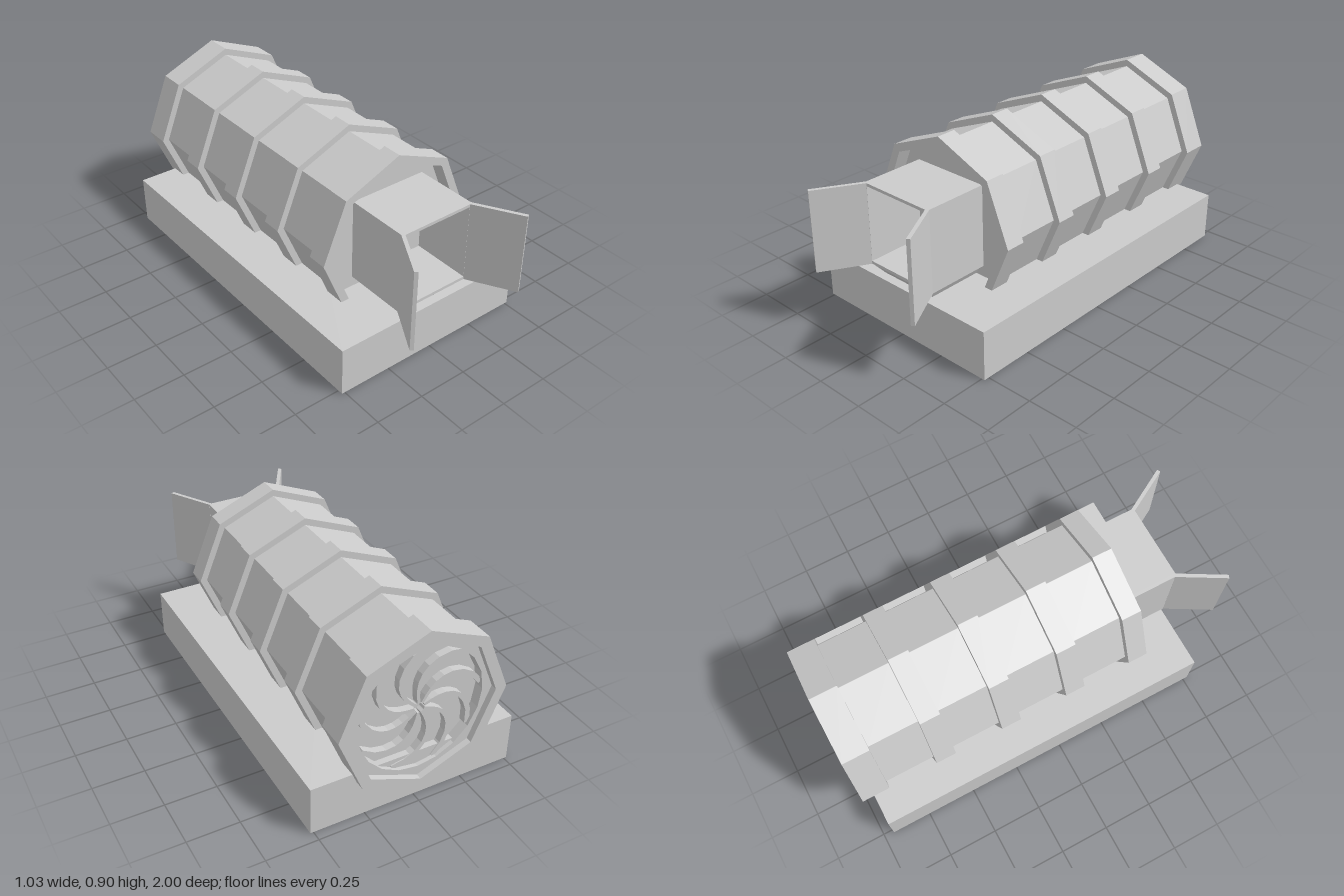
import * as THREE from 'three';

const AXIS_Y = 0.488;
const material = new THREE.MeshStandardMaterial({ color: 0xcccccc, flatShading: true, side: THREE.DoubleSide });

function add(parent, name, geometry, x = 0, y = 0, z = 0) {
  const flat = geometry.index ? geometry.toNonIndexed() : geometry;
  flat.computeVertexNormals();
  const mesh = new THREE.Mesh(flat, material);
  mesh.name = name;
  mesh.position.set(x, y, z);
  parent.add(mesh);
  return mesh;
}

const box = (w, h, d) => new THREE.BoxGeometry(w, h, d);

function polygonPoints(radius, sides) {
  return Array.from({ length: sides }, (_, i) => {
    const a = Math.PI / 2 + (i / sides) * Math.PI * 2;
    return new THREE.Vector2(Math.cos(a) * radius, Math.sin(a) * radius);
  });
}

// Octagonal shell: raised bands along the body, with recessed ends
function shellGeometry() {
  const bands = [[-1, -0.865], [-0.62, -0.52], [-0.275, -0.175], [0.07, 0.17], [0.415, 0.515]];
  const profile = [[0.36, -0.9]];
  bands.forEach(([a, b], i) => {
    profile.push([i ? 0.38 : 0.36, a], [0.415, a], [0.415, b]);
    if (i < bands.length - 1) profile.push([0.38, b]);
  });
  profile.push([0.372, 0.515], [0.365, 0.45], [0, 0.45]);
  return new THREE.LatheGeometry(profile.map(p => new THREE.Vector2(...p)), 8).rotateX(Math.PI / 2);
}

// One curved fan blade, drawn as a tapering swept strip
function bladeGeometry() {
  const outer = [], inner = [];
  for (let i = 0; i <= 8; i++) {
    const t = i / 8, r = 0.025 + 0.285 * t, a = 0.95 * t * t;
    const half = 0.007 + 0.006 * t;
    const x = Math.cos(a) * r, y = Math.sin(a) * r;
    const heading = a + Math.atan2(1.9 * t * r, 0.285);
    const nx = -Math.sin(heading) * half, ny = Math.cos(heading) * half;
    outer.push(new THREE.Vector2(x + nx, y + ny));
    inner.unshift(new THREE.Vector2(x - nx, y - ny));
  }
  return new THREE.ExtrudeGeometry(new THREE.Shape([...outer, ...inner]), { depth: 0.04, bevelEnabled: false });
}

export function createModel() {
  const model = new THREE.Group();
  model.name = 'turbineUnit';

  add(model, 'base', box(1.03, 0.245, 1.725), 0, 0.1225, -0.0875);
  add(model, 'bandedShell', shellGeometry(), 0, AXIS_Y, 0);

  // Rear fan: octagonal plate with round opening, back wall and blades
  const fan = new THREE.Group();
  fan.name = 'rearFan';
  fan.position.set(0, AXIS_Y, 0);
  model.add(fan);
  const plate = new THREE.Shape(polygonPoints(0.362, 8));
  plate.holes.push(new THREE.Path(polygonPoints(0.31, 20)));
  add(fan, 'fanPlate', new THREE.ExtrudeGeometry(plate, { depth: 0.06, bevelEnabled: false }), 0, 0, -0.97);
  add(fan, 'fanBackWall', new THREE.CylinderGeometry(0.355, 0.355, 0.02, 8).rotateX(Math.PI / 2), 0, 0, -0.91);
  const blade = bladeGeometry();
  for (let i = 0; i < 9; i++) {
    add(fan, 'fanBlade', blade, 0, 0, -0.955).rotation.z = (i / 9) * Math.PI * 2;
  }

  // Intake box with open front
  const intake = new THREE.Group();
  intake.name = 'intake';
  model.add(intake);
  for (const s of [-1, 1]) {
    add(intake, 'intakeSide', box(0.015, 0.41, 0.335), s * 0.1945, 0.505, 0.61);
    add(intake, s > 0 ? 'intakeRoof' : 'intakeFloor', box(0.376, 0.015, 0.335), 0, 0.505 + s * 0.1975, 0.61);
  }
  add(intake, 'intakeBack', box(0.376, 0.38, 0.02), 0, 0.505, 0.465);

  // Tapered support beneath the intake
  const support = box(1, 0.06, 1);
  const p = support.attributes.position;
  for (let i = 0; i < p.count; i++) {
    const top = p.getY(i) > 0;
    p.setX(i, Math.sign(p.getX(i)) * (top ? 0.187 : 0.153));
    p.setZ(i, p.getZ(i) > 0 ? (top ? 0.775 : 0.725) : 0.45);
  }
  add(model, 'intakeSupport', support, 0, 0.27, 0);

  // Pair of splayed doors hinged on the intake sides
  for (const s of [-1, 1]) {
    const door = new THREE.Group();
    door.name = s > 0 ? 'leftDoor' : 'rightDoor';
    door.position.set(s * 0.195, 0.505, 0.772);
    door.rotation.y = s * 0.52;
    model.add(door);
    add(door, 'doorPanel', box(0.018, 0.41, 0.255), 0, 0, 0.1275);
  }
  return model;
}
